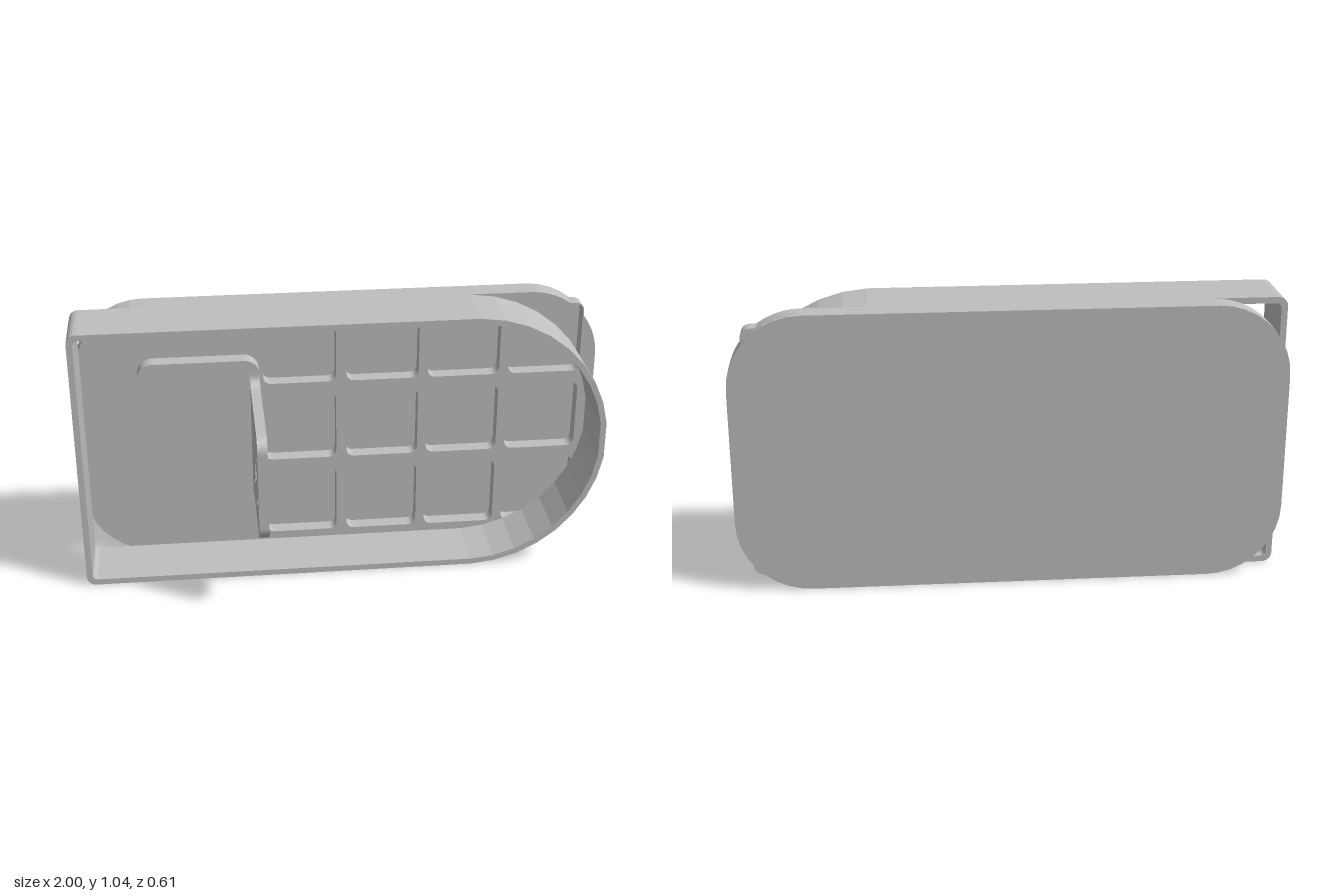
import * as THREE from 'three';

const H = 1.045, MID = H / 2;

// Points of an arc, angles in degrees
function arc(cx, cy, r, from, to, steps) {
  return Array.from({ length: steps + 1 }, (_, i) => {
    const a = THREE.MathUtils.degToRad(from + (to - from) * i / steps);
    return new THREE.Vector2(cx + r * Math.cos(a), cy + r * Math.sin(a));
  });
}

// Counter-clockwise rounded rectangle
function roundedRect(x0, y0, x1, y1, r, steps = 9) {
  return [
    ...arc(x1 - r, y1 - r, r, 0, 90, steps), ...arc(x0 + r, y1 - r, r, 90, 180, steps),
    ...arc(x0 + r, y0 + r, r, 180, 270, steps), ...arc(x1 - r, y0 + r, r, 270, 360, steps),
  ];
}

function extrude(points, holes, z0, z1) {
  const shape = new THREE.Shape(points);
  shape.holes = holes.map((h) => new THREE.Path(h));
  const geo = new THREE.ExtrudeGeometry(shape, { depth: z1 - z0, bevelEnabled: false, curveSegments: 10 });
  return geo.translate(0, 0, z0);
}

// D-shaped outline of the wall: small corners at left, faceted round end at right
function wallOutline(inset, corner) {
  const r = MID - inset, cx = 0.482, x0 = -1 + inset;
  return [
    new THREE.Vector2(cx, inset),
    ...arc(cx, MID, r, -88, -8, 8), ...arc(cx, MID, r, 8, 88, 8),
    new THREE.Vector2(cx, H - inset),
    ...arc(x0 + corner, H - inset - corner, corner, 90, 180, 5),
    ...arc(x0 + corner, inset + corner, corner, 180, 270, 5),
  ];
}

// Plate corner that bulges out around the corner pocket
function bulgedCorner(cx, cy, r) {
  const lip = 0.004, w = 0.21 + lip, h = 0.215 + lip, pr = 0.03 + lip;
  const d = new THREE.Vector2(w - pr, h - pr);
  return Array.from({ length: 61 }, (_, i) => {
    const a = Math.PI / 2 * i / 60;
    const u = new THREE.Vector2(Math.cos(a), Math.sin(a));
    let t = Math.min(w / Math.max(u.x, 1e-6), h / Math.max(u.y, 1e-6));
    if (u.x * t > d.x && u.y * t > d.y) {
      t = d.dot(u) + Math.sqrt(Math.max(0, pr * pr - d.cross(u) ** 2));
    }
    t = Math.max(t, r);
    return new THREE.Vector2(cx + u.x * t, cy + u.y * t);
  });
}

export function createModel() {
  const model = new THREE.Group();
  const grey = new THREE.MeshStandardMaterial({ color: 0xbfbfbf });
  grey.name = 'plain grey';
  const add = (name, geo) => {
    const mesh = new THREE.Mesh(geo, grey);
    mesh.name = name;
    model.add(mesh);
  };

  // Back plate with a flat rear skin
  const R = 0.27, back = -0.305, floor = -0.275, face = -0.215;
  add('backPlate', extrude(roundedRect(-1, 0, 1, H, R), [], back, floor));

  // Ribbed layer: grid of square pockets
  const topRight = bulgedCorner(1 - R, H - R, R);
  const bottomRight = topRight.map((p) => new THREE.Vector2(p.x, H - p.y)).reverse();
  const ribOutline = [
    ...topRight, ...arc(-1 + R, H - R, R, 90, 180, 9),
    ...arc(-1 + R, R, R, 180, 270, 9), ...bottomRight,
  ];
  const pockets = [];
  for (const x of [-0.29, 0.03, 0.345, 0.66]) {
    for (const y of [0.055, 0.3825, 0.71]) {
      pockets.push(roundedRect(x, y, x + 0.28, y + 0.28, 0.03, 5));
    }
  }
  add('pocketFloor', extrude(ribOutline, [], floor, floor + 0.003));
  add('pocketRibs', extrude(ribOutline, pockets, floor + 0.003, face));

  // Thin surrounding wall
  add('surroundWall', extrude(wallOutline(0, 0.035), [wallOutline(0.023, 0.02)], face, 0.022));

  // Raised mounting pad
  const padTop = -0.155;
  add('mountingPad', extrude(roundedRect(-0.765, 0.213, -0.305, 0.838, 0.058), [], face, padTop));

  // Upright bracket, drawn in (z, y), flared where it meets the pad
  const y0 = 0.315, y1 = 0.735, tip = 0.305, f = 0.045, c = 0.06;
  const outline = [
    ...arc(padTop + f, y0 - f, f, 180, 90, 8),
    ...arc(tip - c, y0 + c, c, -90, 0, 9),
    ...arc(tip - c, y1 - c, c, 0, 90, 9),
    ...arc(padTop + f, y1 + f, f, 270, 180, 8),
  ];
  const holes = [arc(0.128, 0.525, 0.038, 0, 345, 23)];
  for (const z of [0.043, 0.213]) {
    for (const y of [0.441, 0.609]) holes.push(arc(z, y, 0.018, 0, 337.5, 15));
  }
  const bracket = extrude(outline, holes, 0, 0.037);
  bracket.rotateY(-Math.PI / 2).translate(-0.305, 0, 0);
  add('uprightBracket', bracket);

  return model;
}
